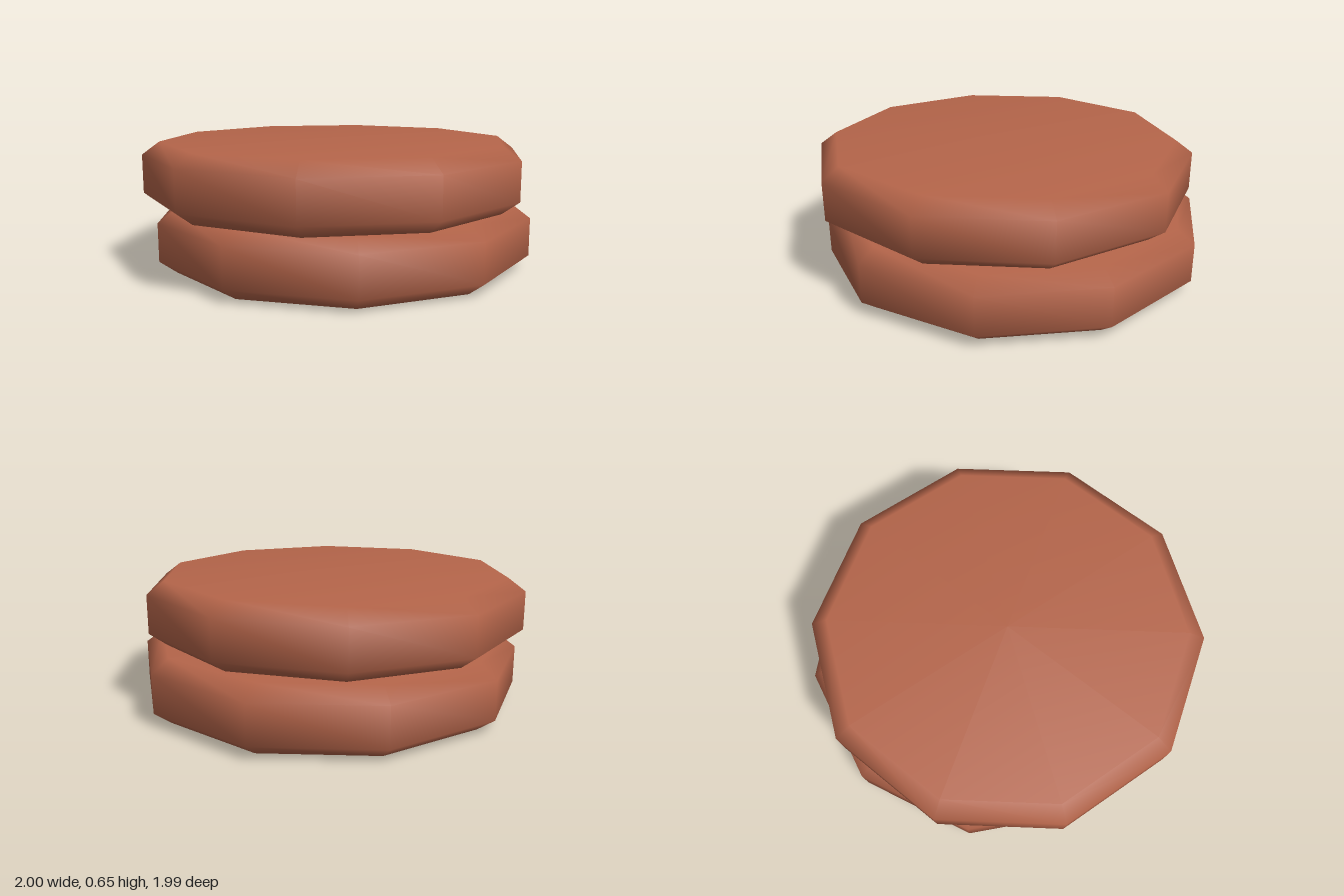
import * as THREE from 'three';
import { mergeVertices } from 'three/addons/utils/BufferGeometryUtils.js';

const RADIUS = 0.993, CAP_RADIUS = 0.905, HEIGHT = 0.327, BEVEL = 0.065;

// ten-sided bevelled disc, softly shaded over the bevels
function discGeometry() {
  const profile = [
    [0, 0], [CAP_RADIUS, 0], [RADIUS, BEVEL],
    [RADIUS, HEIGHT - BEVEL], [CAP_RADIUS, HEIGHT], [0, HEIGHT],
  ].map(([r, y]) => new THREE.Vector2(r, y));
  const lathe = new THREE.LatheGeometry(profile, 10);
  lathe.deleteAttribute('uv');
  lathe.deleteAttribute('normal');
  const geometry = mergeVertices(lathe, 1e-4);
  geometry.computeVertexNormals();
  return geometry;
}

export function createModel() {
  const group = new THREE.Group();
  group.name = 'stackedDiscs';
  const terracotta = new THREE.MeshStandardMaterial({ color: 0xb5654a });
  terracotta.name = 'terracotta';
  const geometry = discGeometry();

  function addDisc(name, x, y, z, turn) {
    const disc = new THREE.Mesh(geometry, terracotta);
    disc.name = name;
    disc.position.set(x, y, z);
    disc.rotation.y = turn;
    group.add(disc);
  }

  addDisc('lowerDisc', 0.01, 0, -0.03, 0.213);
  addDisc('upperDisc', -0.055, HEIGHT, 0, 0);
  return group;
}
